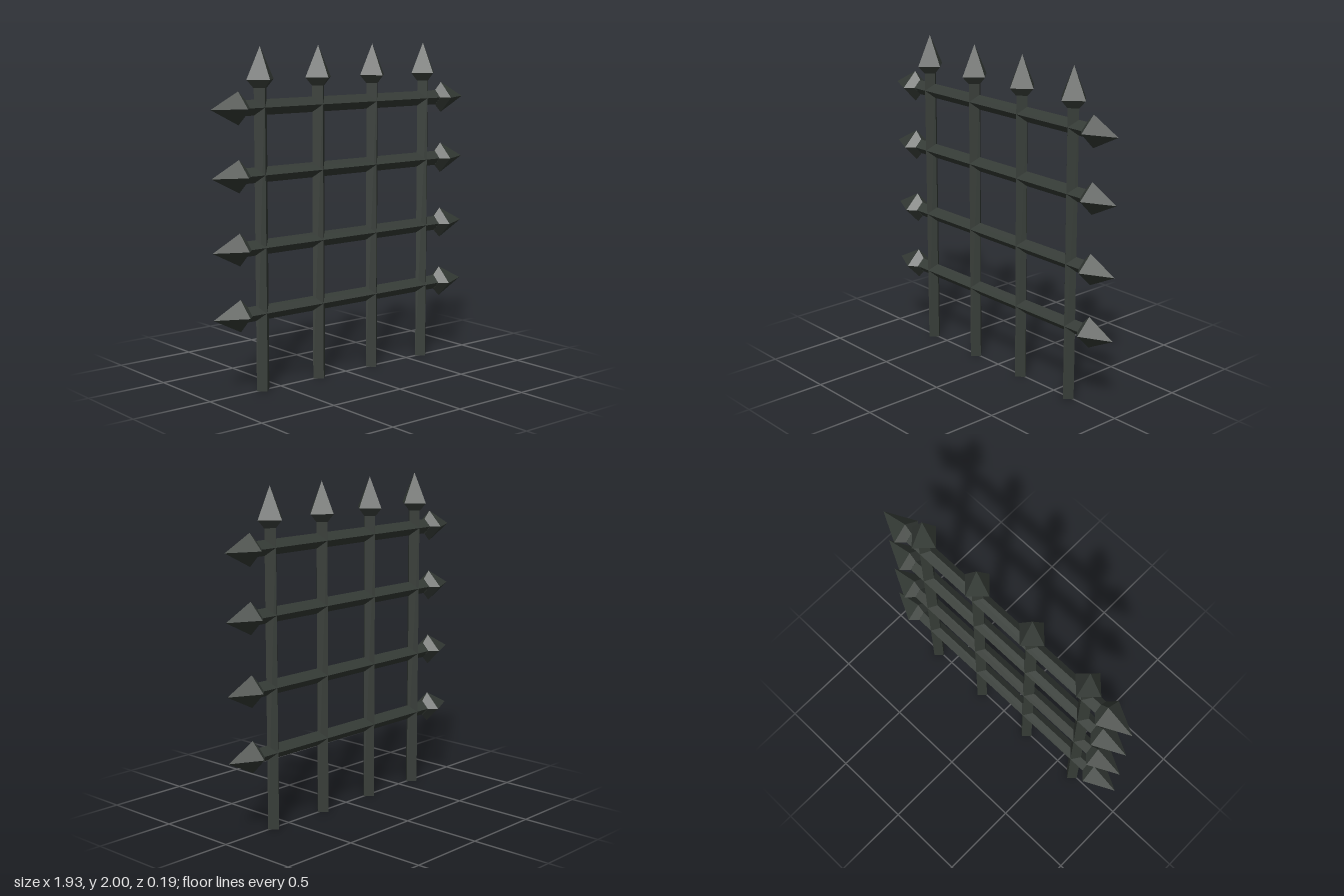
import * as THREE from 'three';

export function createModel() {
  const group = new THREE.Group();
  group.name = 'gate';
  const iron = new THREE.MeshStandardMaterial({ color: 0x353b36, flatShading: true });
  iron.name = 'dark iron';

  const BAR = 0.045, HEAD = 0.095;

  // Four-sided piece standing on edge, from y0 to y1
  function piece(parent, name, rBottom, rTop, y0, y1) {
    const geo = new THREE.CylinderGeometry(rTop, rBottom, y1 - y0, 4, 1);
    geo.translate(0, (y0 + y1) / 2, 0);
    const mesh = new THREE.Mesh(geo, iron);
    mesh.name = name;
    parent.add(mesh);
  }

  // Spearhead: short flare, then a long point ending at the tip
  function spearhead(parent, tip) {
    const head = new THREE.Group();
    head.name = 'spearhead';
    piece(head, 'spearheadFlare', 0.047, HEAD, tip - 0.235, tip - 0.187);
    piece(head, 'spearheadPoint', HEAD, 0, tip - 0.187, tip);
    parent.add(head);
    return head;
  }

  // Upright bars with a spearhead on top
  for (const x of [-0.628, -0.21, 0.206, 0.623]) {
    const upright = new THREE.Group();
    upright.name = 'uprightBar';
    piece(upright, 'uprightShaft', BAR, BAR, 0, 1.78);
    spearhead(upright, 2);
    upright.position.x = x;
    group.add(upright);
  }

  // Cross bars with a spearhead at both ends
  for (const y of [0.465, 0.85, 1.27, 1.655]) {
    const cross = new THREE.Group();
    cross.name = 'crossBar';
    piece(cross, 'crossShaft', BAR, BAR, -0.75, 0.75);
    spearhead(cross, 0.967);
    spearhead(cross, 0.967).rotation.z = Math.PI;
    cross.rotation.z = -Math.PI / 2;
    cross.position.y = y;
    group.add(cross);
  }

  return group;
}
